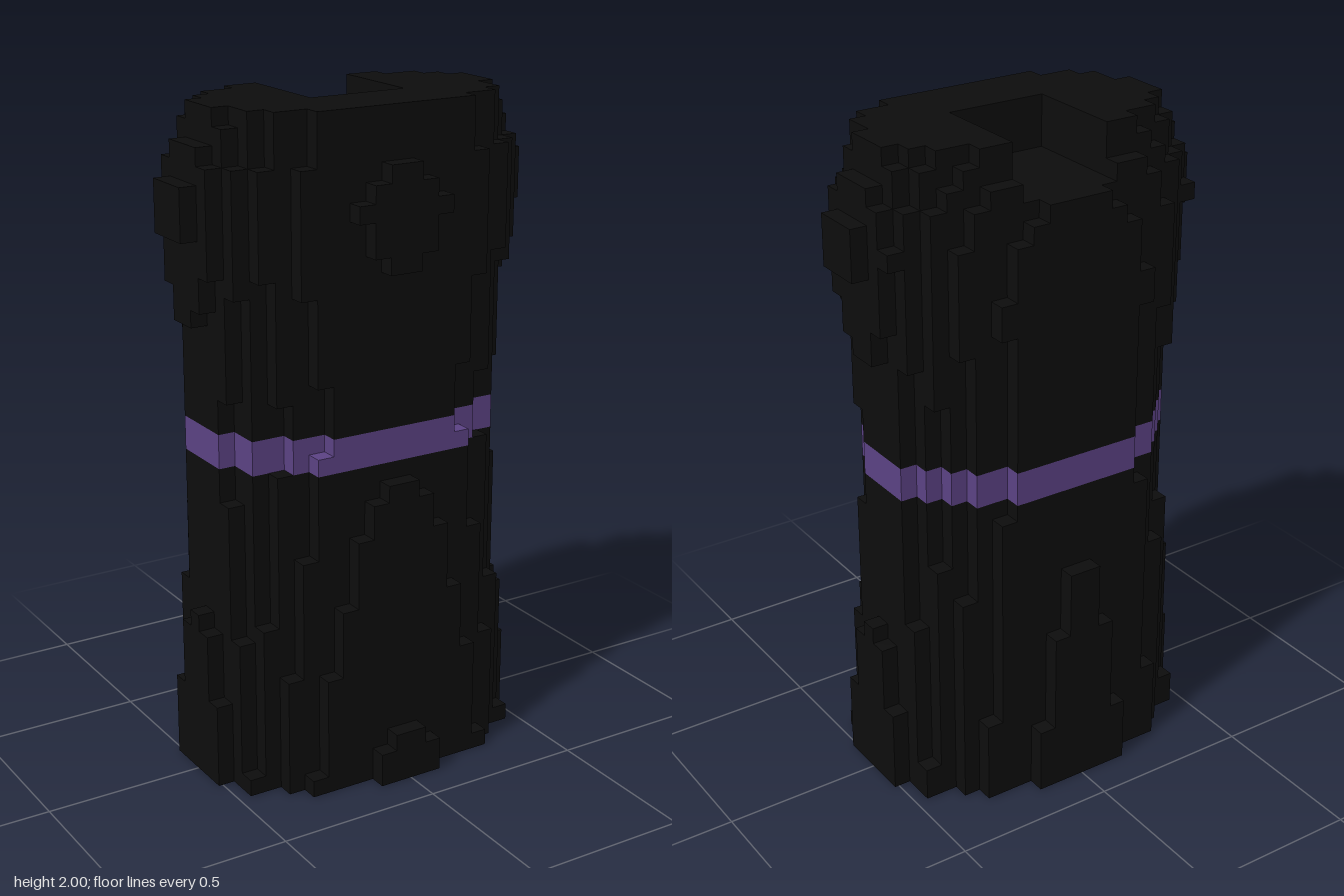
import * as THREE from 'three';

const LAYERS = 39;
const CELL = 2 / LAYERS;

// Radii of the oval cross-section, in cells, as [layer, radius] keys
const SIDE = [[0, 10.3], [10, 9.5], [18, 8.9], [22, 8.9], [27, 9.5], [32, 10.6], [33.5, 10.85], [35, 10.6], [37, 9.5], [39, 8.9]];
const FRONT = [[0, 7.17], [3, 7.02], [18, 6.01], [20.5, 5.75], [25, 5.75], [30, 6.01], [33, 6.2], [36, 6.01], [39, 5.75]];
const BACK = [[0, 7.32], [14, 7.01], [20, 6.9], [31, 6.7], [36, 6.02], [38, 5.01], [39, 4.75]];

function radius(keys, y) {
  let i = 1;
  while (i < keys.length - 1 && keys[i][0] < y) i++;
  const [y0, r0] = keys[i - 1];
  const [y1, r1] = keys[i];
  return THREE.MathUtils.mapLinear(y, y0, y1, r0, r1);
}

// Is the cell filled? x cells span i..i+1, z cells are centred on k
function filled(i, j, k) {
  if (j < 0 || j >= LAYERS) return false;
  // slot in the top, open towards the back
  if (j >= 36 && i >= -3 && i < 3 && k <= 1) return false;
  const y = j + 0.5;
  const a = radius(SIDE, y);
  const b = radius(k > 0 ? FRONT : BACK, y);
  return ((i + 0.5) / a) ** 2 + (k / b) ** 2 <= 1;
}

// Outer faces of the cells in a range of layers
function blockGeometry(from, to) {
  const position = [], normal = [], index = [];
  const directions = [];
  for (let axis = 0; axis < 3; axis++) {
    for (const sign of [-1, 1]) {
      const n = new THREE.Vector3().setComponent(axis, sign);
      const u = new THREE.Vector3().setComponent((axis + 1) % 3, 1);
      directions.push({ n, u, v: n.clone().cross(u) });
    }
  }
  const corners = [[-1, -1], [1, -1], [1, 1], [-1, 1]];
  for (let j = from; j < to; j++) {
    for (let i = -12; i < 12; i++) {
      for (let k = -8; k <= 8; k++) {
        if (!filled(i, j, k)) continue;
        const centre = new THREE.Vector3(i + 0.5, j + 0.5, k);
        for (const { n, u, v } of directions) {
          if (filled(i + n.x, j + n.y, k + n.z)) continue;
          const s = position.length / 3;
          for (const [p, q] of corners) {
            const c = centre.clone().addScaledVector(n, 0.5)
              .addScaledVector(u, p / 2).addScaledVector(v, q / 2).multiplyScalar(CELL);
            position.push(c.x, c.y, c.z);
            normal.push(n.x, n.y, n.z);
          }
          index.push(s, s + 1, s + 2, s, s + 2, s + 3);
        }
      }
    }
  }
  const geometry = new THREE.BufferGeometry();
  geometry.setAttribute('position', new THREE.Float32BufferAttribute(position, 3));
  geometry.setAttribute('normal', new THREE.Float32BufferAttribute(normal, 3));
  geometry.setIndex(index);
  return geometry;
}

export function createModel() {
  const black = new THREE.MeshStandardMaterial({ color: 0x0d0d0d });
  black.name = 'black';
  const purple = new THREE.MeshStandardMaterial({ color: 0x5b4284 });
  purple.name = 'purple';

  const model = new THREE.Group();
  model.name = 'slottedHandle';
  const add = (name, from, to, material) => {
    const mesh = new THREE.Mesh(blockGeometry(from, to), material);
    mesh.name = name;
    model.add(mesh);
  };

  add('lowerGrip', 0, 19, black);
  add('waistBand', 19, 21, purple);
  add('upperGrip', 21, LAYERS, black);
  return model;
}
